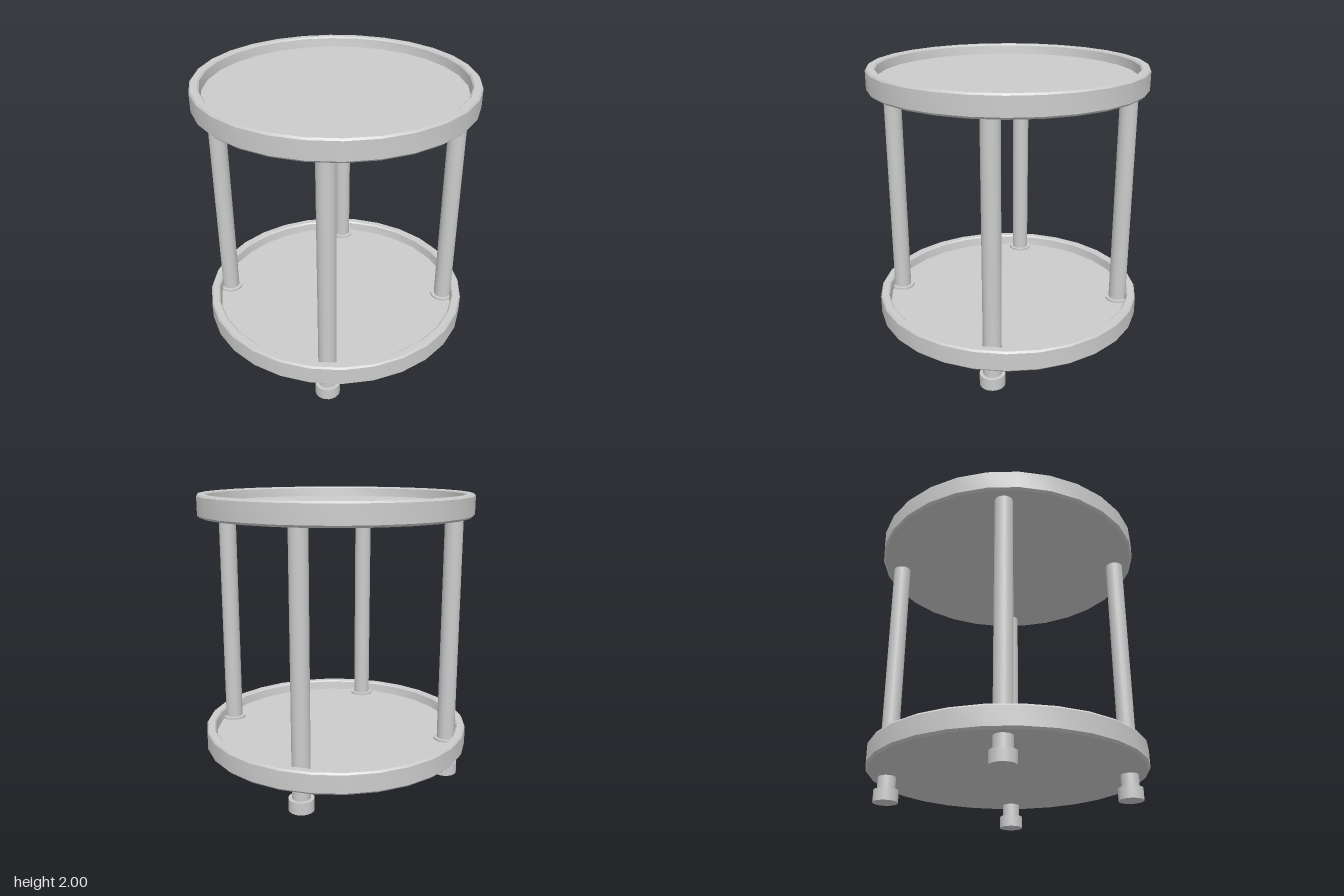
import * as THREE from 'three';
import { toCreasedNormals } from 'three/addons/utils/BufferGeometryUtils.js';

const material = new THREE.MeshStandardMaterial({ color: 0xcccccc });

function addMesh(parent, name, geometry, x, y, z) {
  const mesh = new THREE.Mesh(geometry, material);
  mesh.name = name;
  mesh.position.set(x, y, z);
  parent.add(mesh);
}

// Round tray with a raised, slightly bevelled rim; y = 0 is its underside
function trayGeometry() {
  const profile = [
    [0, 0], [0.945, 0], [0.96, 0.015], [0.96, 0.14], [0.95, 0.153],
    [0.905, 0.153], [0.895, 0.143], [0.887, 0.08], [0, 0.075],
  ].map(([r, y]) => new THREE.Vector2(r, y));
  return toCreasedNormals(new THREE.LatheGeometry(profile, 28), Math.PI / 6);
}

// Upright cylinder measured from its bottom to its top
function column(parent, name, radius, bottom, top) {
  const geometry = new THREE.CylinderGeometry(radius, radius, top - bottom, 20);
  addMesh(parent, name, geometry, 0, (bottom + top) / 2, 0);
}

export function createModel() {
  const model = new THREE.Group();
  model.name = 'roundTrayTable';

  // Two matching trays
  const tray = trayGeometry();
  addMesh(model, 'topTray', tray, 0, 1.847, 0);
  addMesh(model, 'lowerTray', tray, 0, 0.177, 0);

  // Four legs, each with a foot and a collar on the lower tray
  for (const [side, sx] of [['Left', 1], ['Right', -1]]) {
    for (const [end, sz] of [['front', 1], ['back', -1]]) {
      const leg = new THREE.Group();
      leg.name = `${end}${side}Leg`;
      leg.position.set(sx * 0.585, 0, sz * 0.585);
      column(leg, 'post', 0.0625, 0.08, 1.86);
      column(leg, 'foot', 0.086, 0, 0.085);
      column(leg, 'collar', 0.086, 0.24, 0.272);
      model.add(leg);
    }
  }
  return model;
}
